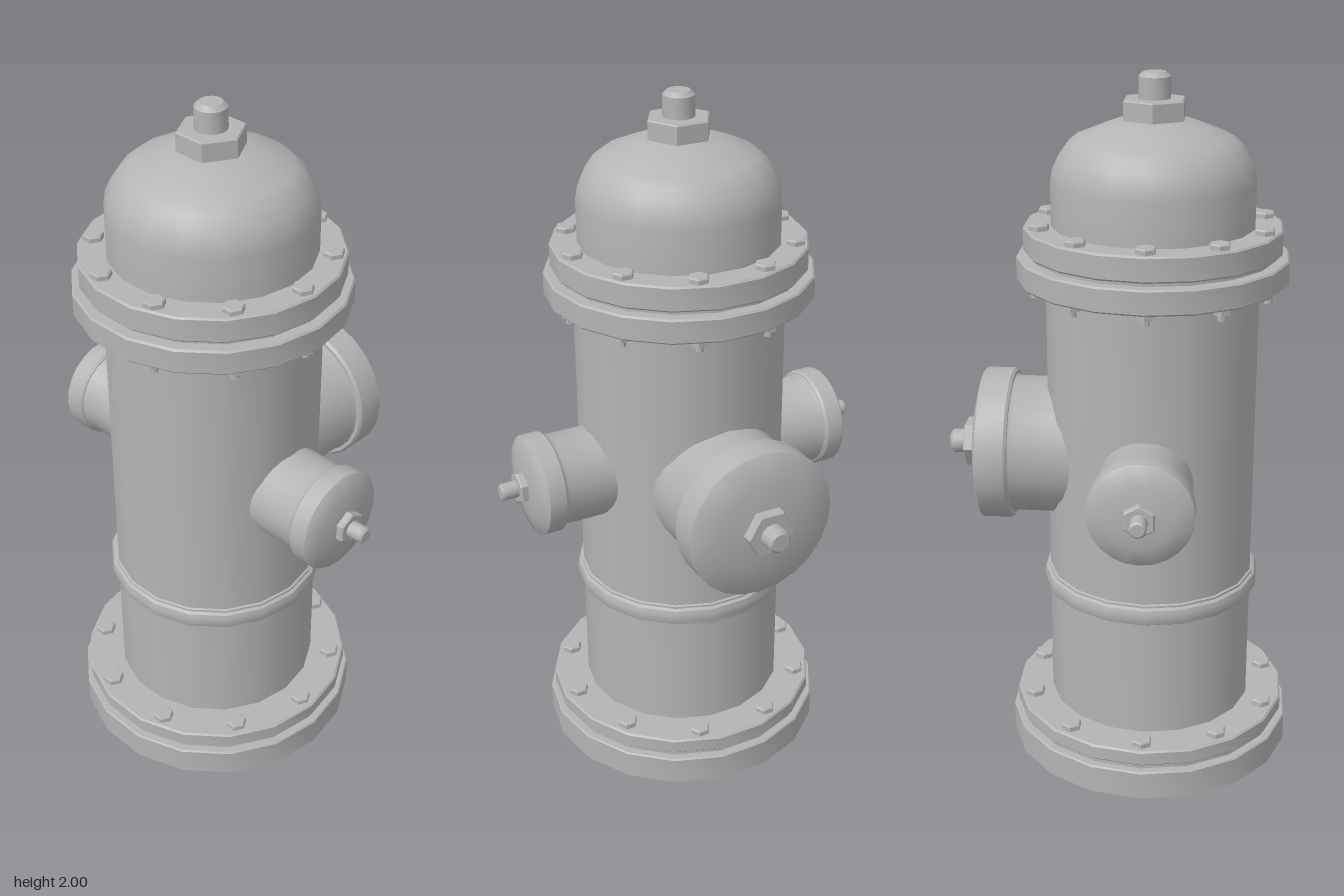
import * as THREE from 'three';
import { toCreasedNormals } from 'three/addons/utils/BufferGeometryUtils.js';

const SIDES = 18;

export function createModel() {
  const castIron = new THREE.MeshStandardMaterial({ color: 0xb4b4b4, side: THREE.DoubleSide });
  castIron.name = 'castIron';

  const model = new THREE.Group();
  model.name = 'fireHydrant';
  model.position.z = 0.086;

  // Turned part: [radius, height] points from bottom to top, a corner on the x axis
  function turned(parent, name, points, sides = SIDES) {
    const profile = points.map(([r, y]) => new THREE.Vector2(r, y));
    const lathe = new THREE.LatheGeometry(profile, sides, Math.PI / 2);
    const mesh = new THREE.Mesh(toCreasedNormals(lathe, 0.6), castIron);
    mesh.name = name;
    parent.add(mesh);
    return mesh;
  }

  // Solid disc or prism with a slight bevel on its upper edge
  function disc(parent, name, r, y0, y1, sides = SIDES, bevel = 0.004) {
    return turned(parent, name,
      [[0, y0], [r, y0], [r, y1 - bevel], [r - bevel, y1], [0, y1]], sides);
  }

  // Flange with an open middle
  function ring(name, inner, outer, y0, y1) {
    const b = 0.005;
    return turned(model, name, [[inner, y0], [outer - b, y0], [outer, y0 + b],
      [outer, y1 - b], [outer - b, y1], [inner, y1]]);
  }

  // Ten fasteners evenly spaced around a flange
  function boltCircle(name, radius, build) {
    const group = new THREE.Group();
    group.name = name;
    for (let i = 0; i < 10; i++) {
      const a = (i / 10) * Math.PI * 2;
      const bolt = new THREE.Group();
      bolt.name = 'bolt';
      bolt.position.set(Math.cos(a) * radius, 0, Math.sin(a) * radius);
      build(bolt);
      group.add(bolt);
    }
    model.add(group);
  }

  // Hollow foot, open underneath
  turned(model, 'foot', [[0.42, 0], [0.42, 0.082], [0.416, 0.086], [0.395, 0.086], [0.395, 0.1]]);
  ring('baseFlange', 0.298, 0.406, 0.1, 0.147);
  boltCircle('baseBolts', 0.36, (b) => disc(b, 'boltHead', 0.03, 0.14, 0.165, 6));

  // Barrel and its raised band
  turned(model, 'barrel', [[0.3, 0.1], [0.3, 1.45]]);
  turned(model, 'band', [[0.299, 0.488], [0.306, 0.491], [0.306, 0.503], [0.314, 0.508],
    [0.318, 0.52], [0.318, 0.54], [0.314, 0.552], [0.306, 0.557], [0.306, 0.563], [0.299, 0.566]]);

  // Paired flanges below the bonnet
  ring('barrelFlange', 0.298, 0.38, 1.437, 1.508);
  turned(model, 'gasket', [[0.345, 1.505], [0.345, 1.522]]);
  ring('bonnetFlange', 0.27, 0.36, 1.519, 1.59);
  boltCircle('bonnetBolts', 0.32, (b) => disc(b, 'boltHead', 0.03, 1.58, 1.606, 6));
  boltCircle('bonnetNuts', 0.335, (b) => {
    disc(b, 'nut', 0.025, 1.418, 1.44, 6, 0.001);
    disc(b, 'stud', 0.012, 1.4, 1.42, 8, 0.001);
  });

  // Bonnet with operating nut
  turned(model, 'bonnet', [[0.283, 1.585], [0.283, 1.71], [0.277, 1.745], [0.262, 1.778],
    [0.24, 1.808], [0.216, 1.828], [0.157, 1.852], [0.11, 1.87], [0.06, 1.88], [0, 1.882]]);
  disc(model, 'operatingNut', 0.093, 1.876, 1.93, 6);
  disc(model, 'operatingStem', 0.044, 1.925, 2, 16, 0.012);

  // Capped outlet, built along +y and then turned outward
  function outlet(name, s) {
    const group = new THREE.Group();
    group.name = name;
    turned(group, 'neck', [[s.neckR, s.start], [s.neckR, s.cap0 - 0.012],
      [s.neckR + 0.006, s.cap0 + 0.002]], 24);
    turned(group, 'cap', [[s.neckR - 0.01, s.cap0], [s.capR - 0.006, s.cap0],
      [s.capR, s.cap0 + 0.008], [s.capR, s.cap1 - 0.004], [s.capR - 0.004, s.cap1],
      [s.capR * 0.62, s.cap1 + (s.nut0 - s.cap1) * 0.65], [s.nutR, s.nut0], [0, s.nut0]], 24);
    disc(group, 'capNut', s.nutR, s.nut0 - 0.005, s.nut1, 6);
    disc(group, 'capStem', s.stemR, s.nut1 - 0.003, s.end, 12, s.stemR * 0.25);
    group.position.y = 0.925;
    model.add(group);
    return group;
  }

  const hose = { neckR: 0.132, start: 0.262, capR: 0.146, cap0: 0.418, cap1: 0.48,
    nutR: 0.047, nut0: 0.5, nut1: 0.521, stemR: 0.024, end: 0.57 };
  outlet('leftOutlet', hose).rotation.z = -Math.PI / 2;
  outlet('rightOutlet', hose).rotation.z = Math.PI / 2;

  const pumper = { neckR: 0.198, start: 0.215, capR: 0.22, cap0: 0.396, cap1: 0.488,
    nutR: 0.072, nut0: 0.516, nut1: 0.545, stemR: 0.035, end: 0.59 };
  outlet('rearOutlet', pumper).rotation.x = -Math.PI / 2;

  const root = new THREE.Group();
  root.name = 'model';
  root.add(model);
  return root;
}
